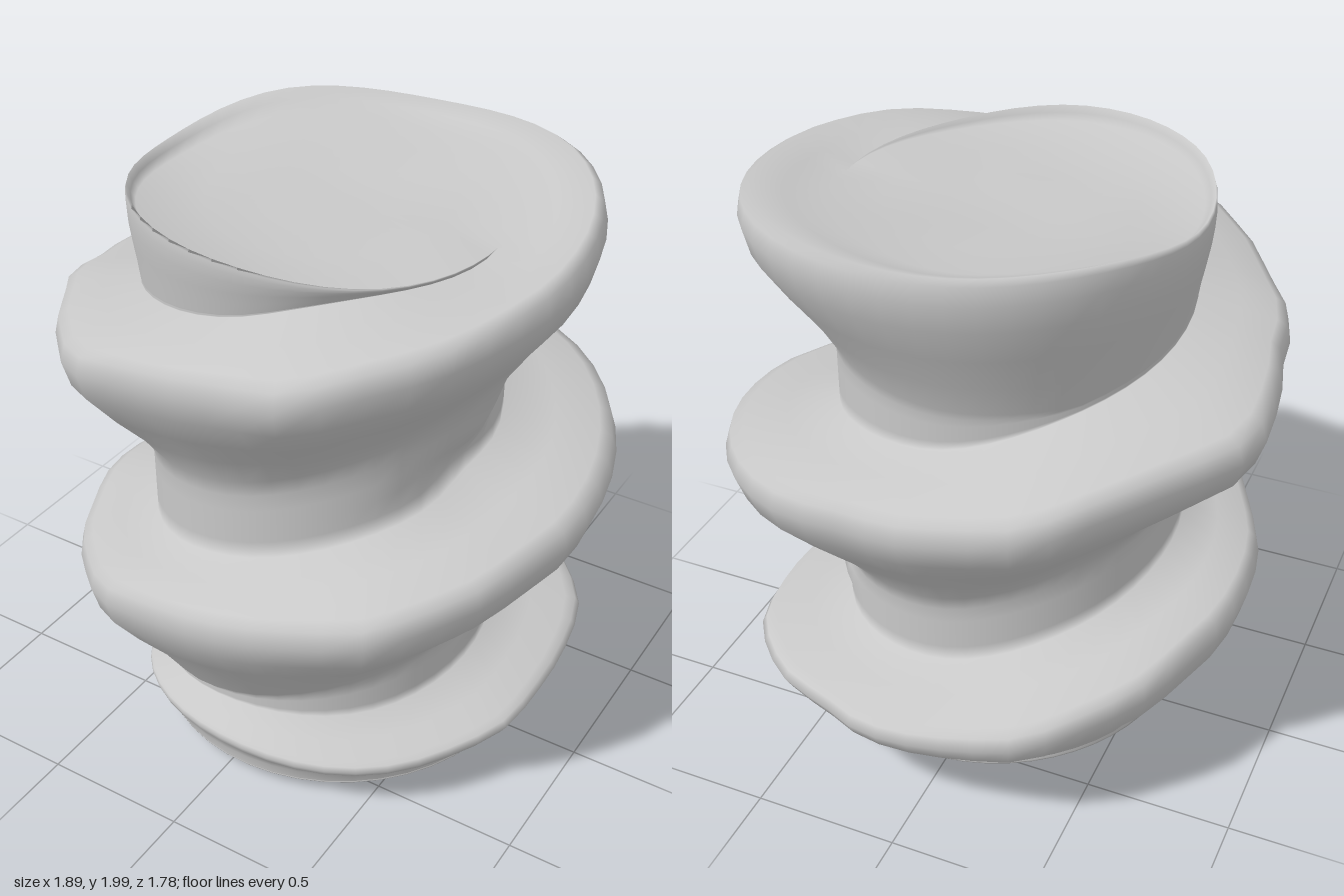
import * as THREE from 'three';
import { mergeVertices } from 'three/addons/utils/BufferGeometryUtils.js';

const START = -450, END = 810, STEP = 7.5, TURN = 360; // degrees, 0 faces the front
const rad = THREE.MathUtils.degToRad;
const { clamp, smoothstep } = THREE.MathUtils;
const bell = (x, width) => Math.exp(-((x / width) ** 2));

// Ledge lip every 45 degrees along the spiral: [height, radius]
const lip = [
  [0.05, 0.59], [0.13, 0.68], [0.19, 0.73], [0.21, 0.82], [0.27, 0.85], [0.32, 0.9], [0.39, 0.88], [0.54, 0.88],
  [0.67, 0.87], [0.71, 0.89], [0.82, 0.88], [0.96, 0.95], [1.06, 0.96], [1.16, 0.96], [1.24, 0.89], [1.39, 0.91],
  [1.5, 0.92], [1.6, 0.9], [1.7, 0.88], [1.85, 0.95], [1.93, 0.88], [1.98, 0.83], [1.97, 0.72], [1.99, 0.68],
  [1.94, 0.64], [1.97, 0.64], [1.96, 0.645], [1.9, 0.63], [1.88, 0.59],
];
const lipCurve = new THREE.CatmullRomCurve3(
  lip.map(([h, r]) => new THREE.Vector3(r, h, 0)), false, 'catmullrom', 0.5);

// Corners and notches along the lip: [angle, radius change, angular width]
const nicks = [
  [-285, 0.02, 9], [-240, 0.02, 10], [-205, -0.03, 9], [-155, 0.03, 10], [-115, -0.02, 9], [-62, -0.02, 10], [-25, 0.03, 9],
  [38, 0.03, 8], [72, -0.02, 8], [166, -0.03, 10], [205, 0.04, 10], [250, 0.06, 11], [278, -0.03, 8], [303, -0.03, 10],
  [335, 0.05, 9], [384, 0.05, 9], [425, -0.01, 9],
];
function lipAt(deg) {
  const p = lipCurve.getPoint(clamp((deg - START) / (END - START), 0, 1));
  for (const [a, amount, width] of nicks) p.x += amount * bell(deg - a, width);
  return p;
}

// Lumps and hollows on the core wall: [angle, height, amount, angular width, height width]
const lumps = [
  [76, 1.4, 0.08, 11, 0.12], [75, 1.15, -0.07, 16, 0.07], [97, 1.38, -0.04, 8, 0.12],
  [105, 0.47, 0.04, 16, 0.05], [105, 0.62, -0.05, 17, 0.07], [270, 0.16, 0.05, 28, 0.08],
];
function coreRadius(deg, y) {
  const a = ((deg % TURN) + TURN) % TURN;
  let r = 0.59 + 0.03 * Math.cos(rad(a));
  for (const [la, ly, amount, wa, wy] of lumps) r += amount * bell(a - la, wa) * bell(y - ly, wy);
  return r;
}

// Point where a ledge meets the core above it, as [radius, height]; below the first ledge, the rim of the base
function root(deg) {
  if (deg < START) return [coreRadius(deg, 0.05) + 0.065 * (1 + Math.sin(rad(deg))), 0.05];
  const rise = 0.06 * smoothstep(deg, START, -360) - 0.11 * smoothstep(deg, 375, 450) + 0.05 * smoothstep(deg, 720, END);
  const y = lipAt(deg).y + rise;
  return [coreRadius(deg, y), y];
}

// Cross-section from the ledge below, up the wall and flare, over the lip to the next root
const flare = [[0.52, 0.04], [0.41, 0.28], [0.29, 0.62], [0.17, 0.92], [0.08, 1], [0.02, 0.95], [0, 0.84]];
function section(deg) {
  const low = root(deg - TURN), high = root(deg), tip = lipAt(deg);
  const scale = clamp((tip.y - low[1]) / 0.55, 0, 1);
  // Near the base the wall starts from the base rim instead of the core
  const wall = (y) => {
    const k = smoothstep(y, low[1], low[1] + 0.12);
    return low[0] + (coreRadius(deg, y) - low[0]) * k;
  };
  const rows = [low];
  for (const k of [0.2, 0.4, 0.6, 0.8]) {
    const y = low[1] + (tip.y - 0.52 * scale - low[1]) * k;
    rows.push([wall(y), y]);
  }
  for (const [drop, k] of flare) {
    const y = tip.y - drop * scale;
    const r = wall(y);
    rows.push([r + (tip.x - r) * k, y]);
  }
  rows.push([(tip.x + high[0] * 1.2) / 2.2, (tip.y + high[1]) / 2], high);
  return rows;
}

// Shallow dished top and slightly lopsided base
const topRows = (deg) => [root(deg), [0.4, 1.9 + 0.015 * Math.cos(rad(deg - 180))], [0.2, 1.89], [0, 1.89]];
const baseRows = (deg) => [
  [0, 0.035], [0.25, 0.035 - 0.01 * Math.cos(rad(deg - 143))],
  [0.48, 0.035 - 0.03 * Math.cos(rad(deg - 143))], root(deg - TURN),
];

// Sweeps rows of [radius, height] around the axis
function band(positions, from, to, rowsAt) {
  const point = (deg, [r, y]) => [r * Math.sin(rad(deg)), y, r * Math.cos(rad(deg))];
  for (let deg = from; deg < to; deg += STEP) {
    const p = rowsAt(deg).map((row) => point(deg, row));
    const q = rowsAt(deg + STEP).map((row) => point(deg + STEP, row));
    for (let j = 0; j + 1 < p.length; j++) {
      positions.push(...p[j], ...q[j], ...q[j + 1], ...p[j], ...q[j + 1], ...p[j + 1]);
    }
  }
}

export function createModel() {
  const stone = new THREE.MeshStandardMaterial({ color: 0xc8c8c8 });
  stone.name = 'pale grey stone';

  const positions = [];
  band(positions, START, START + TURN, baseRows);
  band(positions, START, END, section);
  band(positions, END - TURN, END, topRows);

  let geometry = new THREE.BufferGeometry();
  geometry.setAttribute('position', new THREE.Float32BufferAttribute(positions, 3));
  geometry = mergeVertices(geometry, 1e-4);
  geometry.computeVertexNormals();

  const tower = new THREE.Mesh(geometry, stone);
  tower.name = 'spiralLedgeTower';
  const group = new THREE.Group();
  group.name = 'spiralRock';
  group.add(tower);
  return group;
}
